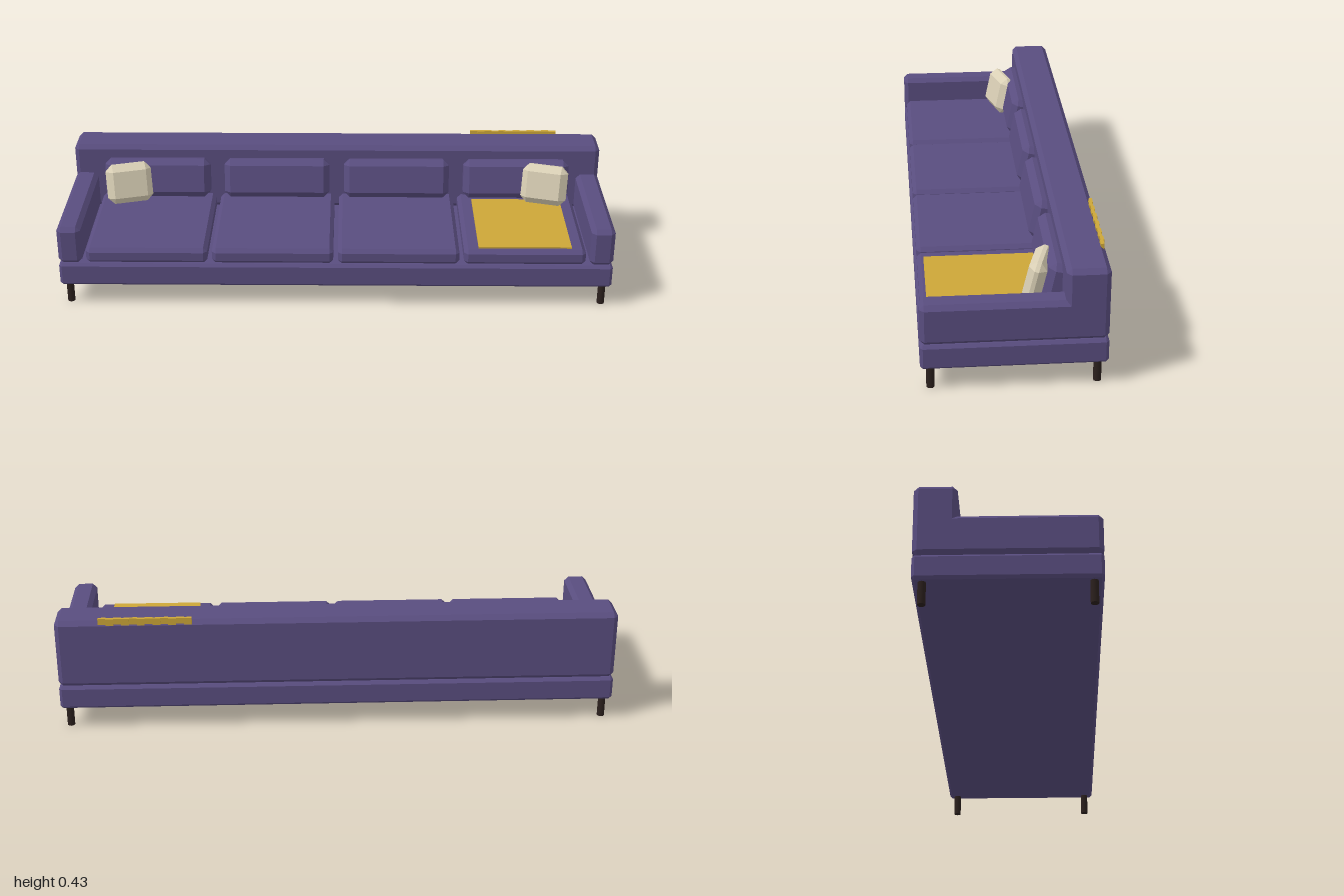
import * as THREE from 'three';
import { ConvexGeometry } from 'three/addons/geometries/ConvexGeometry.js';

const upholstery = new THREE.MeshStandardMaterial({ color: 0x594d7f, name: 'purple upholstery' });
const mustard = new THREE.MeshStandardMaterial({ color: 0xcca638, name: 'mustard throw' });
const cream = new THREE.MeshStandardMaterial({ color: 0xd9cfb5, name: 'cream pillow' });
const darkWood = new THREE.MeshStandardMaterial({ color: 0x2b201d, name: 'dark wood' });

// Box with every edge cut off at 45 degrees
function chamferBox(w, h, d, c) {
  const pts = [];
  for (const x of [-w / 2, w / 2]) for (const y of [-h / 2, h / 2]) for (const z of [-d / 2, d / 2]) {
    const ix = x - Math.sign(x) * c, iy = y - Math.sign(y) * c, iz = z - Math.sign(z) * c;
    pts.push(new THREE.Vector3(x, iy, iz), new THREE.Vector3(ix, y, iz), new THREE.Vector3(ix, iy, z));
  }
  return new ConvexGeometry(pts);
}

export function createModel() {
  const sofa = new THREE.Group();
  sofa.name = 'sofa';

  const add = (name, geometry, material, x, y, z) => {
    const mesh = new THREE.Mesh(geometry, material);
    mesh.name = name;
    mesh.position.set(x, y, z);
    sofa.add(mesh);
    return mesh;
  };
  // Place a block by its min and max on each axis
  const block = (name, x0, x1, y0, y1, z0, z1, c, material = upholstery) => add(name,
    c ? chamferBox(x1 - x0, y1 - y0, z1 - z0, c) : new THREE.BoxGeometry(x1 - x0, y1 - y0, z1 - z0),
    material, (x0 + x1) / 2, (y0 + y1) / 2, (z0 + z1) / 2);

  // Frame
  block('base', -1, 1, 0.079, 0.167, -0.305, 0.305, 0.01);
  block('backrest', -1, 1, 0.167, 0.423, -0.305, -0.163, 0.016);
  block('leftArm', 0.915, 1, 0.167, 0.311, -0.2, 0.305, 0.016);
  block('rightArm', -1, -0.915, 0.167, 0.311, -0.2, 0.305, 0.016);

  // Seat and back cushions
  for (let i = 0; i < 4; i++) {
    const x = (i - 1.5) * 0.455;
    block('seatCushion', x - 0.219, x + 0.219, 0.165, 0.224, -0.18, 0.297, 0.014);
    const back = add('backCushion', chamferBox(0.4, 0.148, 0.08, 0.022), upholstery, x, 0.302, -0.149);
    back.rotation.x = -0.2;
  }

  // Corner pillows and legs
  for (const s of [-1, 1]) {
    const pillow = add('pillow', chamferBox(0.172, 0.15, 0.062, 0.024), cream, s * 0.787, 0.302, -0.093);
    pillow.rotation.set(-0.22, -s * 0.28, 0, 'YXZ');
    for (const z of [-0.272, 0.272]) {
      add('leg', new THREE.CylinderGeometry(0.0135, 0.0135, 0.085, 12), darkWood, s * 0.97, 0.0425, z);
    }
  }

  // Throw on the seat, with its folded end over the back
  block('seatThrow', 0.515, 0.85, 0.219, 0.23, -0.11, 0.275, 0, mustard);
  const folds = 12, step = 0.33 / folds;
  for (let i = 0; i < folds; i++) {
    const x = 0.515 + i * step, shift = i % 2 ? 0.003 : 0;
    block('throwFold', x, x + step, 0.395, 0.433, -0.304 + shift, -0.292 + shift, 0, mustard);
  }
  return sofa;
}
